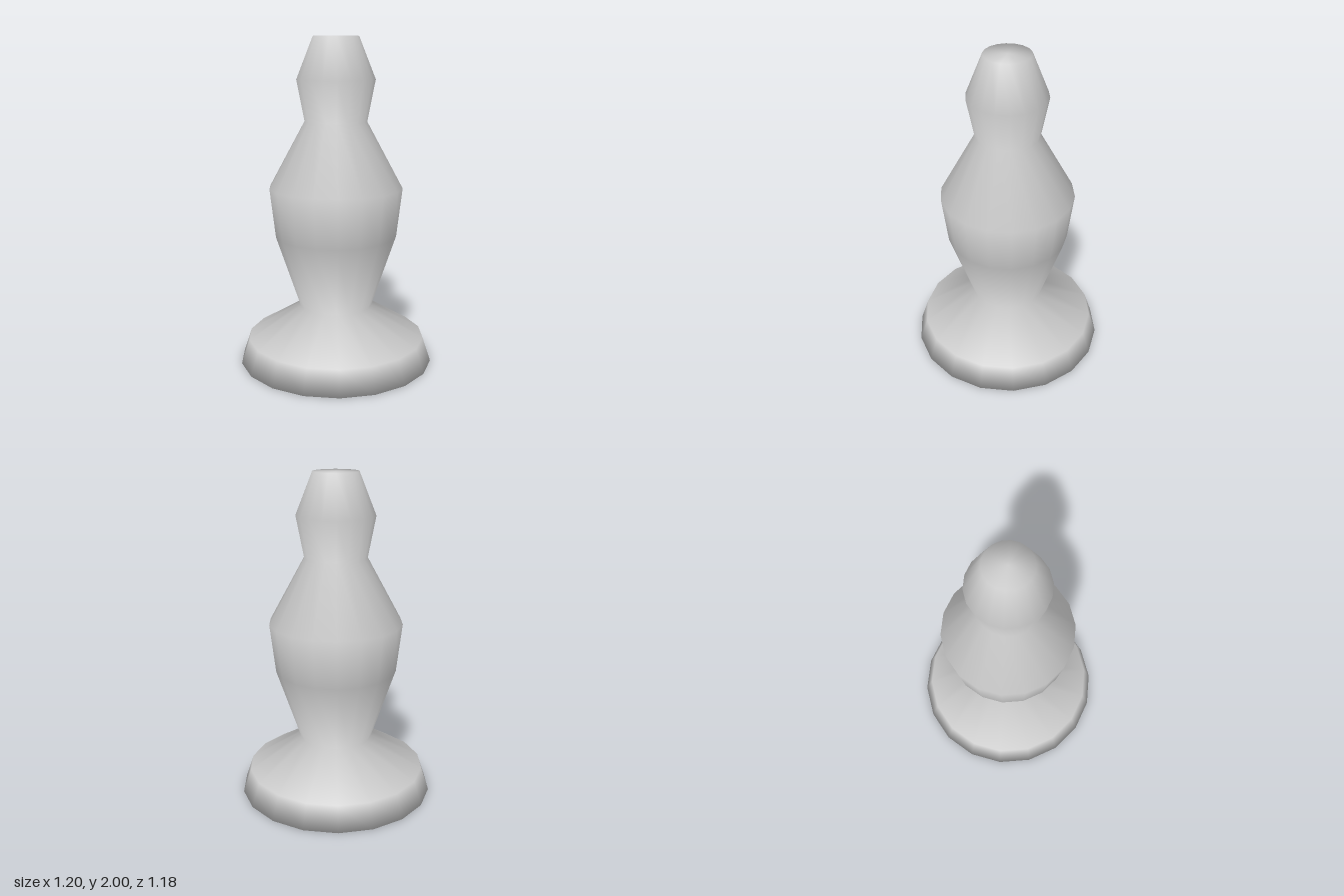
import * as THREE from 'three';
import { mergeVertices } from 'three/addons/utils/BufferGeometryUtils.js';

const SIDES = 18;

// Turned profile from the bottom centre up to the top centre: [radius, height]
const PROFILE = [
  [0, 0],
  [0.6, 0], [0.55, 0.15],     // foot
  [0.223, 0.35],              // stem
  [0.373, 0.8], [0.408, 1.1], // belly
  [0.19, 1.5],                // neck
  [0.238, 1.75], [0.138, 2],  // head
  [0, 2],
];

export function createModel() {
  const group = new THREE.Group();
  group.name = 'turnedPiece';

  const grey = new THREE.MeshStandardMaterial({ color: 0xcccccc });
  grey.name = 'light grey';

  // Corners lie on the x axis; normals are smoothed across every edge
  const points = PROFILE.map(([r, y]) => new THREE.Vector2(r, y));
  const lathe = new THREE.LatheGeometry(points, SIDES, Math.PI / 2);
  lathe.deleteAttribute('normal');
  lathe.deleteAttribute('uv');
  const geometry = mergeVertices(lathe, 1e-4);
  geometry.computeVertexNormals();

  const body = new THREE.Mesh(geometry, grey);
  body.name = 'body';
  group.add(body);
  return group;
}
